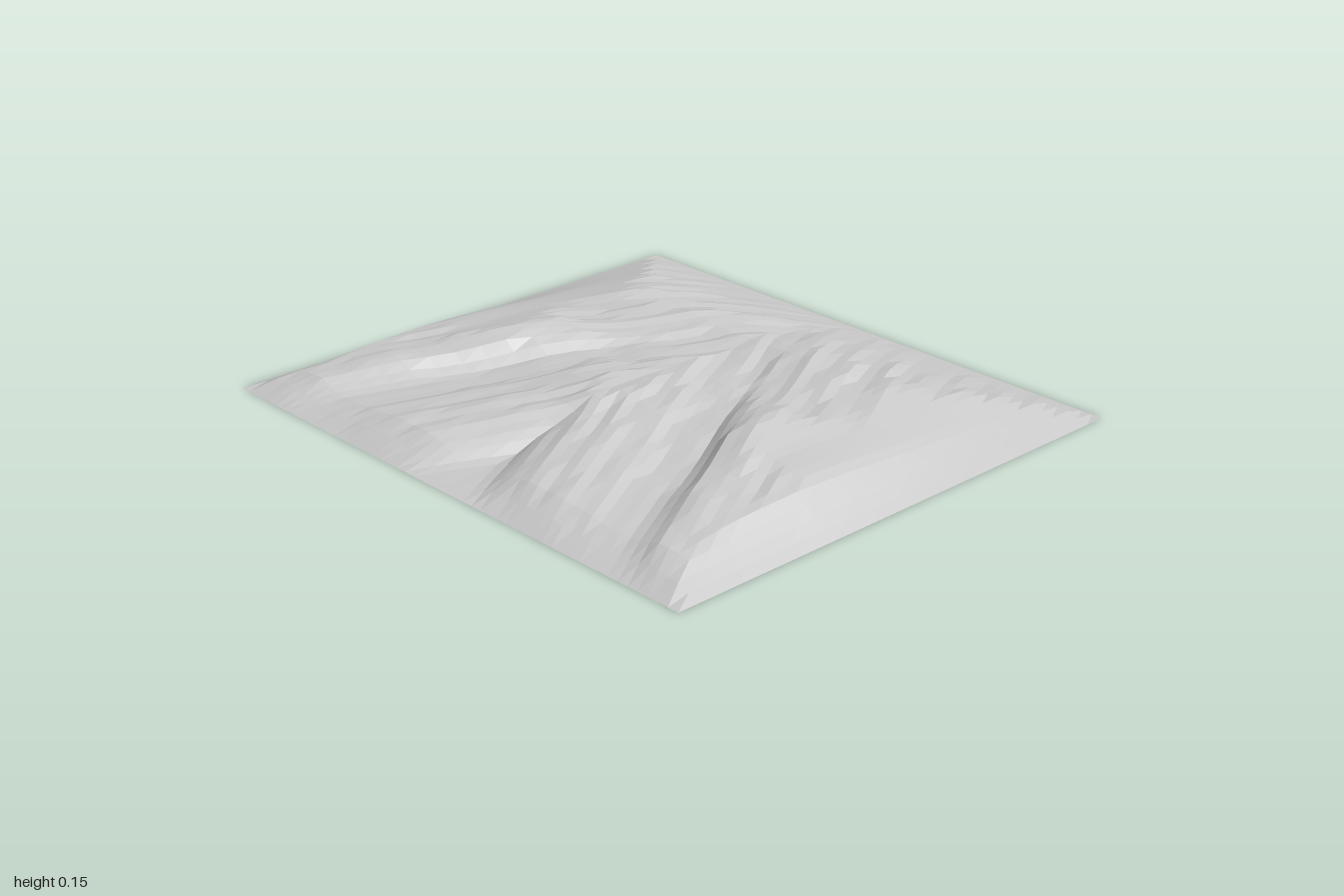
import * as THREE from 'three';

const WIDTH = 2, DEPTH = 1.79, COLS = 52, ROWS = 24;

// Linear interpolation through [position, value] pairs
function curve(points, t) {
  if (t <= points[0][0]) return points[0][1];
  for (let i = 1; i < points.length; i++) {
    const [a, va] = points[i - 1], [b, vb] = points[i];
    if (t <= b) return va + (vb - va) * (t - a) / (b - a);
  }
  return points[points.length - 1][1];
}

// Crest height from back to front
const CREST = [[-0.895, 0], [-0.8, 0.035], [-0.7, 0.062], [-0.6, 0.092], [-0.5, 0.115],
  [-0.4, 0.132], [-0.3, 0.127], [-0.2, 0.12], [-0.1, 0.128], [0, 0.145], [0.1, 0.157],
  [0.2, 0.147], [0.3, 0.127], [0.4, 0.11], [0.5, 0.106], [0.6, 0.09], [0.75, 0.068],
  [0.82, 0.036], [0.895, 0]];

// Steep and gentle height limits from the middle out to the side edges
const STEEP = [[0, 0.118], [0.08, 0.128], [0.25, 0.137], [0.42, 0.13], [0.52, 0.155],
  [0.6, 0.136], [0.68, 0.117], [0.8, 0.107], [0.85, 0.09], [0.9, 0.055], [0.95, 0.025], [1, 0]];
const GENTLE = [[0, 0.118], [0.25, 0.137], [0.5, 0.13], [0.7, 0.085], [0.85, 0.042], [1, 0]];

// Share of the steep limit, from back to front
const BULGE = [[-0.6, 0], [-0.2, 0.4], [0.1, 0.85], [0.3, 1], [0.5, 0.9], [0.895, 0.5]];

// Section across the forward-opening chevrons, from outer flank to front valley
const CHEVRONS = [[-2.4, 0.45], [-1.8, 0.55], [-1.5, 0.72], [-1.2, 0.85], [-0.9, 1],
  [-0.8, 0.9], [-0.6, 0.5], [-0.45, 0.5], [-0.2, 0.68], [0.05, 0.85], [0.3, 0.82],
  [0.45, 0.65], [0.62, 0.12], [0.9, 0.05]];

// How strongly the valleys cut in, from back to front
const CUT = [[-0.6, 0.25], [-0.2, 0.35], [-0.08, 0.42], [0, 0.72], [0.3, 1]];

// Narrow spur on the centre line
const SPUR = [[0.05, 0], [0.17, 0.02], [0.32, 0.02], [0.4, 0]];

// Repeatable value noise in the range -1 to 1
function hash(i, j) {
  const s = Math.sin(i * 127.1 + j * 311.7) * 43758.5453;
  return (s - Math.floor(s)) * 2 - 1;
}

function terrainHeight(x, z) {
  const ax = Math.abs(x);
  const u = z - 2 * ax;
  const section = 1 - curve(CUT, z) * (1 - curve(CHEVRONS, u));
  // Fine gullies follow the chevrons
  const rough = 0.965 + 0.035 * Math.sin(u * 24 + z * 3)
    + 0.06 * hash(Math.round(u * 9), Math.round(z * 7));
  const spur = curve(SPUR, z) * Math.max(0, 1 - ax / 0.08);
  const limit = THREE.MathUtils.lerp(curve(GENTLE, ax), curve(STEEP, ax), curve(BULGE, z));
  return Math.max(0, Math.min(curve(CREST, z) * section * rough + spur, limit));
}

// Open sheet whose cell diagonals mirror about x = 0 and follow the chevrons
function buildSheet() {
  const positions = [], index = [];
  for (let r = 0; r <= ROWS; r++) {
    for (let c = 0; c <= COLS; c++) {
      const x = (c / COLS - 0.5) * WIDTH, z = (r / ROWS - 0.5) * DEPTH;
      positions.push(x, terrainHeight(x, z), z);
    }
  }
  for (let r = 0; r < ROWS; r++) {
    for (let c = 0; c < COLS; c++) {
      const a = r * (COLS + 1) + c, b = a + 1, d = a + COLS + 1, e = d + 1;
      if (c < COLS / 2) index.push(a, d, b, b, d, e);
      else index.push(a, d, e, a, e, b);
    }
  }
  const indexed = new THREE.BufferGeometry();
  indexed.setAttribute('position', new THREE.Float32BufferAttribute(positions, 3));
  indexed.setIndex(index);
  const geometry = indexed.toNonIndexed();
  geometry.computeVertexNormals();
  return geometry;
}

export function createModel() {
  const group = new THREE.Group();
  group.name = 'mountainTerrain';
  const terrain = new THREE.Mesh(buildSheet(), new THREE.MeshStandardMaterial({
    color: 0xcccccc, flatShading: true, side: THREE.DoubleSide,
  }));
  terrain.name = 'terrainSurface';
  group.add(terrain);
  return group;
}
